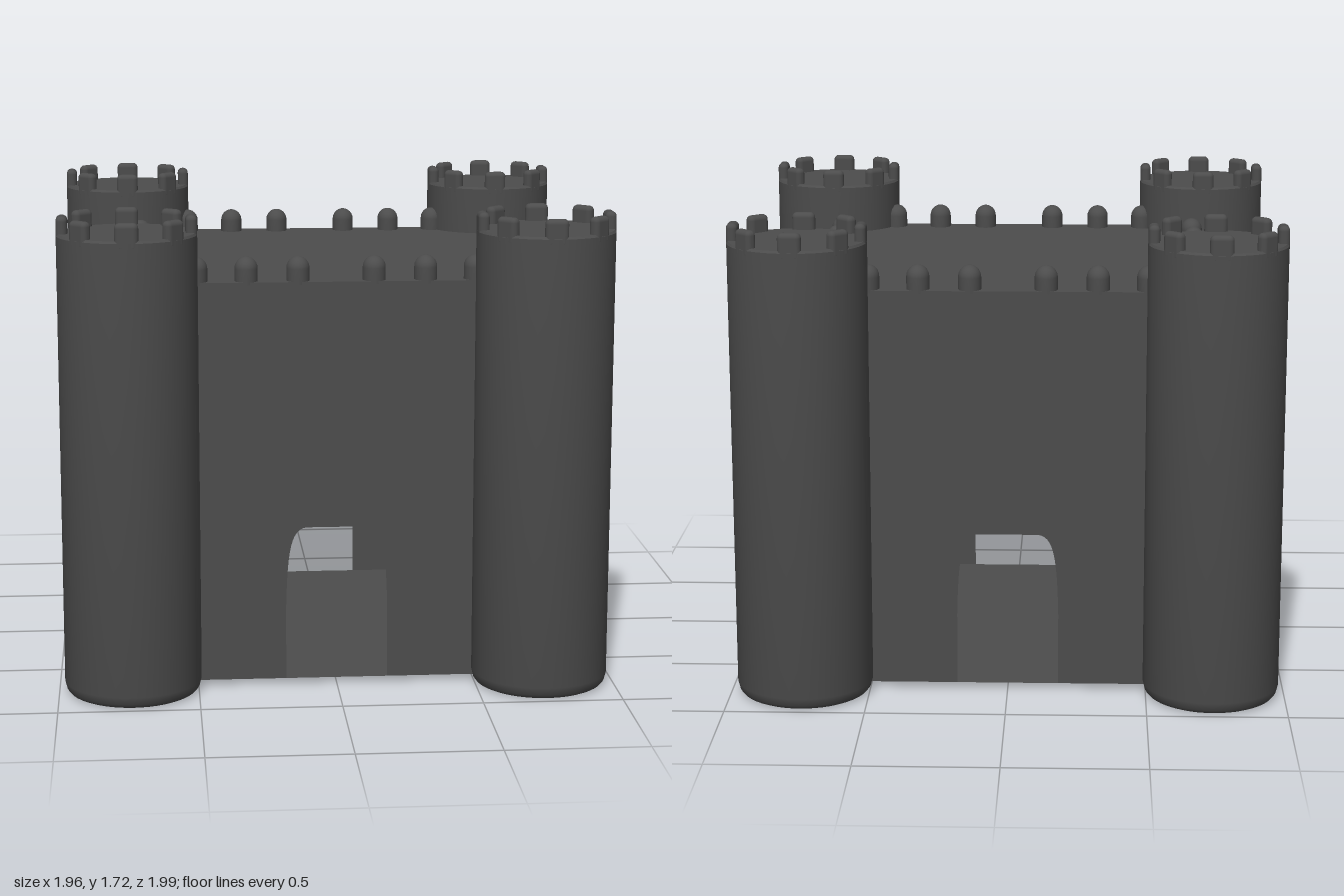
import * as THREE from 'three';
import { toCreasedNormals } from 'three/addons/utils/BufferGeometryUtils.js';
import { RoundedBoxGeometry } from 'three/addons/geometries/RoundedBoxGeometry.js';

const stone = new THREE.MeshStandardMaterial({ color: 0x4c4c4c });
const thinStone = new THREE.MeshStandardMaterial({ color: 0x4c4c4c, side: THREE.DoubleSide });

const HALF = 0.725, BASE = 0.02, ROOF = 1.47;
const TOWER_X = 0.735, TOWER_Z = 0.748, TOWER_R = 0.245, TOWER_H = 1.655;

function add(parent, name, geometry, x, y, z, material = stone) {
  const mesh = new THREE.Mesh(geometry, material);
  mesh.name = name;
  mesh.position.set(x, y, z);
  parent.add(mesh);
  return mesh;
}

// Wall panel with an arched gate cut up from its bottom edge
function gateWallGeometry() {
  const s = new THREE.Shape();
  s.moveTo(-HALF, BASE);
  s.lineTo(-0.183, BASE);
  s.lineTo(-0.183, 0.28);
  s.bezierCurveTo(-0.178, 0.5, -0.165, 0.58, -0.105, 0.582);
  s.lineTo(0.105, 0.582);
  s.bezierCurveTo(0.165, 0.58, 0.178, 0.5, 0.183, 0.28);
  s.lineTo(0.183, BASE);
  s.lineTo(HALF, BASE);
  s.lineTo(HALF, ROOF);
  s.lineTo(-HALF, ROOF);
  return new THREE.ShapeGeometry(s, 12);
}

// Round tower with softened foot and rim
function towerGeometry() {
  const profile = [
    [0, 0], [0.215, 0], [0.228, 0.006], [0.238, 0.018], [TOWER_R, 0.045],
    [TOWER_R, TOWER_H - 0.008], [TOWER_R - 0.006, TOWER_H], [0, TOWER_H],
  ].map(([r, y]) => new THREE.Vector2(r, y));
  return toCreasedNormals(new THREE.LatheGeometry(profile, 48), 0.6);
}

// Domed wall merlon, slightly longer in z
function domeGeometry() {
  const profile = [new THREE.Vector2(0.041, -0.01)];
  for (let i = 0; i <= 6; i++) {
    const a = (i / 6) * Math.PI / 2;
    profile.push(new THREE.Vector2(i === 6 ? 0 : 0.041 * Math.cos(a), 0.044 + 0.042 * Math.sin(a)));
  }
  return new THREE.LatheGeometry(profile, 20).scale(1, 1, 1.2);
}

export function createModel() {
  const castle = new THREE.Group();
  castle.name = 'castle';

  // Hollow keep: gate walls front and back, plain side walls, roof and floor
  const keep = new THREE.Group();
  keep.name = 'keep';
  castle.add(keep);
  const gateWall = gateWallGeometry();
  add(keep, 'frontGateWall', gateWall, 0, 0, HALF, thinStone);
  add(keep, 'backGateWall', gateWall, 0, 0, -HALF, thinStone).rotation.y = Math.PI;
  const sideWall = new THREE.PlaneGeometry(2 * HALF, ROOF - BASE);
  const slab = new THREE.PlaneGeometry(2 * HALF, 2 * HALF);
  for (const s of [1, -1]) {
    add(keep, s > 0 ? 'leftWall' : 'rightWall', sideWall, s * HALF, (ROOF + BASE) / 2, 0, thinStone)
      .rotation.y = s * Math.PI / 2;
  }
  add(keep, 'roof', slab, 0, ROOF, 0, thinStone).rotation.x = -Math.PI / 2;
  add(keep, 'floor', slab, 0, BASE, 0, thinStone).rotation.x = Math.PI / 2;

  // Domed merlons along the four roof edges
  const dome = domeGeometry();
  for (const s of [1, -1]) {
    for (const m of [1, -1]) {
      for (const x of [0.135, 0.318, 0.495]) add(keep, 'wallMerlon', dome, m * x, ROOF, s * 0.678);
      for (const z of [0.157, 0.363]) add(keep, 'wallMerlon', dome, s * 0.685, ROOF, m * z);
    }
  }

  // Corner towers, each crowned with a ring of eight merlons
  const towerBody = towerGeometry();
  const block = new RoundedBoxGeometry(0.082, 0.1, 0.04, 3, 0.018);
  for (const sx of [1, -1]) {
    for (const sz of [1, -1]) {
      const tower = new THREE.Group();
      tower.name = (sz > 0 ? 'front' : 'back') + (sx > 0 ? 'Left' : 'Right') + 'Tower';
      tower.position.set(sx * TOWER_X, 0, sz * TOWER_Z);
      castle.add(tower);
      add(tower, 'towerBody', towerBody, 0, 0, 0);
      for (let i = 0; i < 8; i++) {
        const a = (i * Math.PI) / 4;
        add(tower, 'towerMerlon', block, 0.224 * Math.sin(a), 1.666, 0.224 * Math.cos(a)).rotation.y = a;
      }
    }
  }
  return castle;
}
